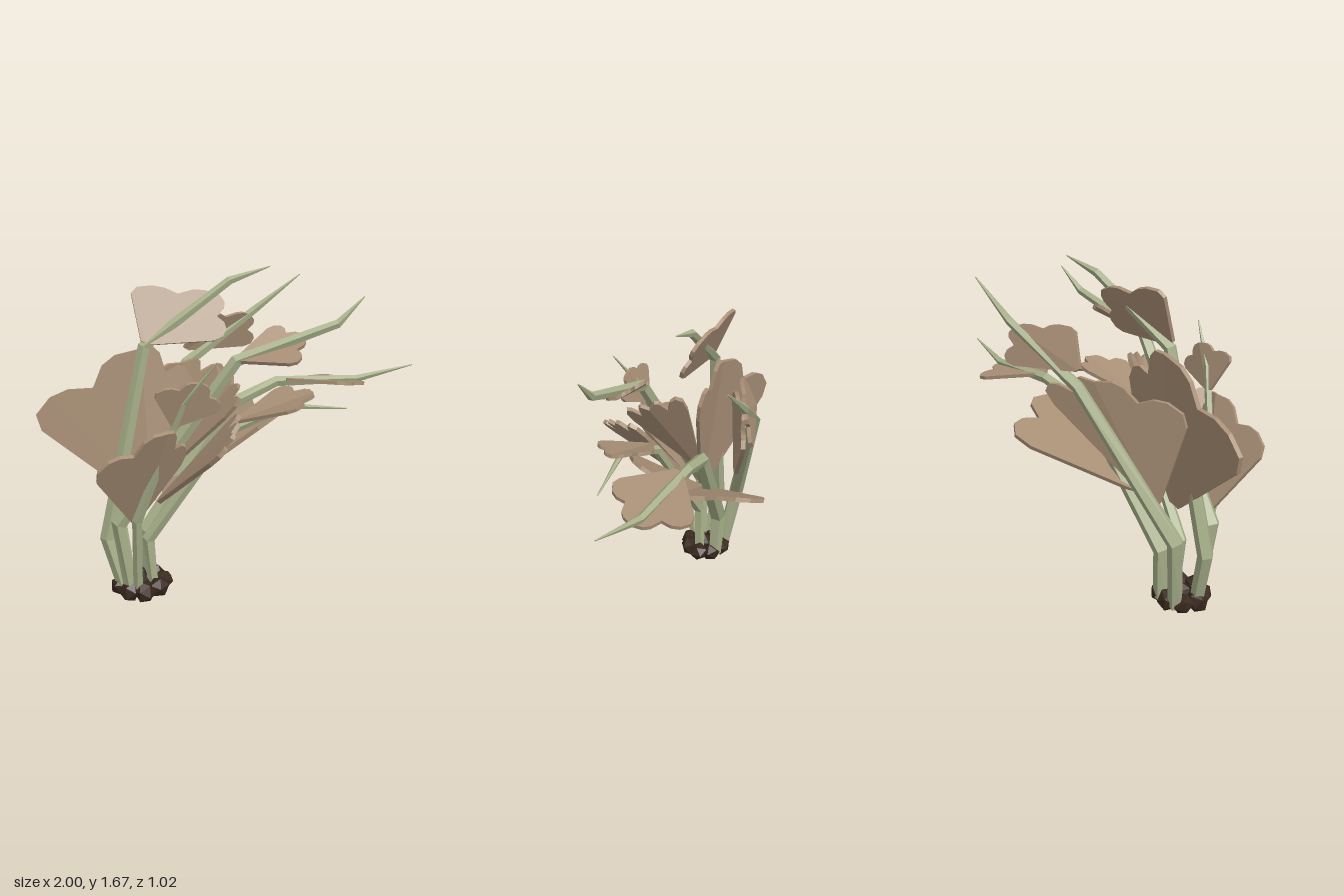
import * as THREE from 'three';

const stalkMat = new THREE.MeshStandardMaterial({ color: 0xa8b08a, flatShading: true });
stalkMat.name = 'pale green';
const leafMat = new THREE.MeshStandardMaterial({ color: 0xa88f76, flatShading: true, side: THREE.DoubleSide });
leafMat.name = 'dry tan';
const clodMat = new THREE.MeshStandardMaterial({ color: 0x38271d, flatShading: true });
clodMat.name = 'dark soil';

const V = (a) => new THREE.Vector3(...a);

function meshFrom(positions, index, material, name) {
  const g = new THREE.BufferGeometry();
  g.setAttribute('position', new THREE.Float32BufferAttribute(positions, 3));
  g.setIndex(index);
  const flat = g.toNonIndexed();
  flat.computeVertexNormals();
  const mesh = new THREE.Mesh(flat, material);
  mesh.name = name;
  return mesh;
}

// Five-sided stalk that bends at each point and tapers to its tip
function stalk(name, path, radius) {
  const pts = path.map(V), n = pts.length, sides = 5;
  const pos = [], idx = [];
  pts.forEach((p, i) => {
    const t = pts[Math.min(i + 1, n - 1)].clone().sub(pts[Math.max(i - 1, 0)]).normalize();
    const a = new THREE.Vector3(0, 0, 1).cross(t).normalize();
    const b = t.clone().cross(a);
    const f = i / (n - 1);
    const r = i === n - 1 ? 0.003 : radius * (i === 0 ? 0.85 : 1.2 - 0.95 * f);
    for (let s = 0; s < sides; s++) {
      const w = (s / sides) * Math.PI * 2;
      const q = p.clone().addScaledVector(a, Math.cos(w) * r).addScaledVector(b, Math.sin(w) * r);
      pos.push(q.x, q.y, q.z);
    }
  });
  for (let i = 0; i < n - 1; i++) for (let s = 0; s < sides; s++) {
    const a = i * sides + s, b = i * sides + (s + 1) % sides;
    idx.push(a, b, a + sides, b, b + sides, a + sides);
  }
  const last = (n - 1) * sides;
  for (let s = 1; s < sides - 1; s++) idx.push(0, s + 1, s, last, last + s, last + s + 1);
  return meshFrom(pos, idx, stalkMat, name);
}

// Half outline of a three-lobed leaf: distance along, share of half width
const HALF = [[0, 0.09], [0.6, 1], [0.71, 1.04], [0.8, 0.9], [0.83, 0.72], [0.81, 0.48],
  [0.94, 0.38], [0.99, 0.25], [1, 0]];

// Leaf folded on its midrib, fitted to its base, tip and two side lobes
function leaf(name, base, tip, left, right, thick) {
  const B = V(base), axis = V(tip).sub(B), L = V(left), R = V(right);
  const wide = L.clone().sub(R).multiplyScalar(0.5);
  const fold = L.clone().add(R).multiplyScalar(0.5).sub(B).addScaledVector(axis, -0.68);
  const up = axis.clone().cross(wide).normalize().multiplyScalar(thick / 2);
  const outline = [...HALF, ...HALF.slice(0, -1).reverse().map(([u, w]) => [u, -w])];
  const n = outline.length, pos = [], idx = [];
  for (const side of [1, -1]) {
    for (const [u, w] of [...outline, [0, 0]]) {
      const p = B.clone().addScaledVector(axis, u).addScaledVector(wide, w)
        .addScaledVector(fold, Math.abs(w)).addScaledVector(up, side);
      pos.push(p.x, p.y, p.z);
    }
  }
  const m = n + 1;
  for (let i = 0; i < n; i++) {
    const j = (i + 1) % n;
    if (j) idx.push(n, j, i, m + n, m + i, m + j);
    idx.push(i, j, m + j, i, m + j, m + i);
  }
  return meshFrom(pos, idx, leafMat, name);
}

export function createModel() {
  const model = new THREE.Group();
  model.name = 'dryPlant';

  // Stalks, all swept towards one side
  const stalks = [
    ['tallStalk', [[-.63, .04, .04], [-.7, .33, .01], [-.47, 1.31, -.03], [-.03, 1.6, -.08], [.18, 1.66, -.09]], .043],
    ['backStalk', [[-.59, .04, -.07], [-.63, .42, -.13], [-.2, 1.13, -.35], [.2, 1.38, -.43], [.46, 1.56, -.44]], .044],
    ['frontStalk', [[-.6, .04, .08], [-.65, .45, .1], [-.07, 1.27, .2], [.43, 1.42, .21], [.57, 1.54, .19]], .044],
    ['longStalk', [[-.48, .04, -.06], [-.49, .31, -.07], [-.03, .94, -.14], [.25, 1.04, -.18], [.7, 1.03, -.15], [1, 1.1, -.1]], .046],
    ['thinStalk', [[-.57, .04, .1], [-.57, .5, .2], [-.36, 1.13, .36], [-.22, 1.33, .44]], .03],
    ['lowStalk', [[-.48, .04, .04], [-.5, .32, .05], [-.1, .9, .14], [.2, 1.02, .19], [.52, .97, .155]], .035],
  ];
  for (const s of stalks) model.add(stalk(...s));

  // Large leaves around the clump: base, tip, left lobe, right lobe
  const large = [
    [[-.47, .52, .03], [-.48, 1.29, -.07], [-.98, .95, -.15], [-.24, 1.1, -.04]],
    [[-.4, .53, 0], [.32, .92, -.13], [.06, .84, -.49], [.1, .95, .18]],
    [[-.57, .48, .15], [-.43, 1.0, .36], [-.75, .81, .32], [-.36, .87, .34]],
    [[-.45, .54, .1], [-.14, .98, .4], [-.24, .9, .49], [-.1, .99, .24]],
    [[-.5, .6, .05], [-.08, 1.14, .17], [-.12, 1.06, .3], [-.17, 1.16, .02]],
    [[-.52, .6, -.16], [-.24, 1.15, -.28], [-.01, 1.05, -.36], [-.62, 1.03, -.1]],
  ];
  large.forEach((l, i) => model.add(leaf('largeLeaf' + (i + 1), ...l, .022)));

  // Small leaves near the stalk ends
  const small = [
    [[-.46, 1.33, -.02], [-.08, 1.53, -.09], [-.48, 1.57, -.12], [-.1, 1.34, 0]],
    [[-.2, 1.21, -.35], [.17, 1.36, -.42], [-.11, 1.38, -.31], [.17, 1.19, -.46]],
    [[-.07, 1.27, .2], [.27, 1.35, .17], [.14, 1.39, .09], [.17, 1.28, .35]],
    [[.3, 1.05, -.16], [.73, 1.01, -.12], [.6, 1, -.34], [.54, 1.07, .05]],
    [[-.4, 1.02, .33], [-.28, 1.23, .39], [-.48, 1.19, .38], [-.2, 1.1, .38]],
    [[-.05, .95, .15], [.33, 1.07, .18], [.2, 1.06, .03], [.18, 1.04, .32]],
  ];
  small.forEach((l, i) => model.add(leaf('smallLeaf' + (i + 1), ...l, .018)));

  // Ring of soil clods at the foot
  const clods = new THREE.Group();
  clods.name = 'soilClods';
  for (let i = 0; i < 9; i++) {
    const a = (i / 8) * Math.PI * 2, ring = i < 8 ? 1 : 0;
    const clod = new THREE.Mesh(new THREE.IcosahedronGeometry(0.06, 0), clodMat);
    clod.name = 'clod';
    clod.position.set(-0.538 + Math.cos(a) * 0.108 * ring, 0.056, 0.024 + Math.sin(a) * 0.1 * ring);
    clod.rotation.set(i * 1.3, i * 2.1, i * 0.7);
    clod.scale.y = 0.85;
    clods.add(clod);
  }
  model.add(clods);
  return model;
}
